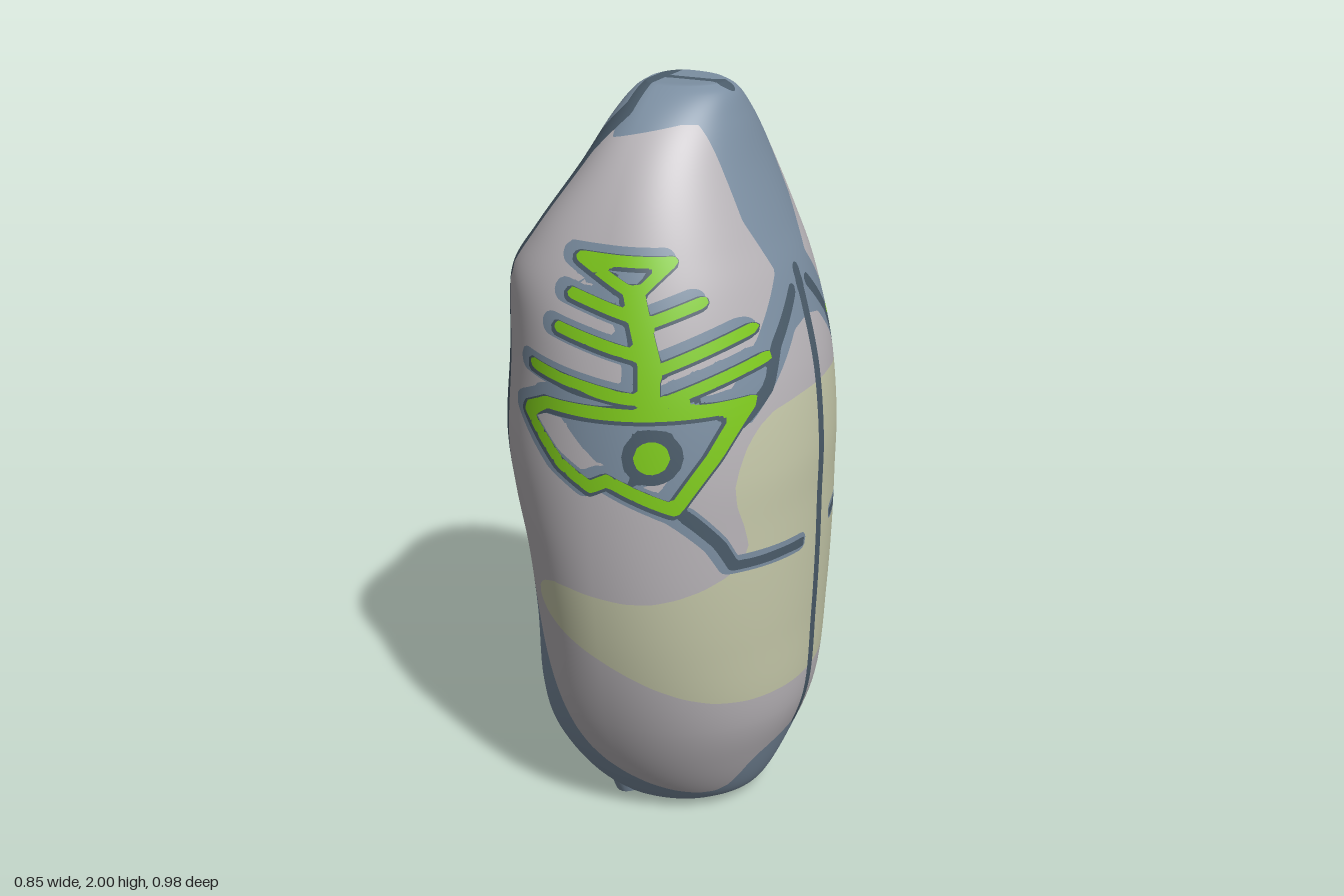
import * as THREE from 'three';

// Side profile: reach to -x, height, reach to +x
const PROFILE = new THREE.CatmullRomCurve3([
  [.18, .02, .24], [.25, .05, .28], [.33, .2, .35], [.345, .35, .4], [.35, .6, .415], [.37, .8, .42],
  [.405, .95, .42], [.43, 1.1, .42], [.415, 1.3, .4], [.395, 1.45, .365], [.37, 1.55, .335],
  [.3, 1.65, .295], [.2, 1.8, .235], [.135, 1.92, .19], [.09, 1.98, .16], [.06, 2, .13],
].map((p) => new THREE.Vector3(...p)));
const bump = (y, mid) => Math.exp(-(((y - mid) / .2) ** 2));

// Half body (z >= 0) as an indexed grid, closed by a flat cap at each end
function halfBody(rings, cap, segs) {
  const pos = [], index = [], total = rings + 2 * cap;
  for (let i = 0; i <= total; i++) {
    const t = THREE.MathUtils.clamp((i - cap) / rings, 0, 1);
    const k = Math.min(1, i / cap, (total - i) / cap);
    const { x: back, y, z: fore } = PROFILE.getPoint(t);
    const depth = .49 * Math.sqrt(1 - ((y - .97) / 1.05) ** 2);
    const square = 2 + bump(y, 1.65) + .3 * bump(y, .3);
    for (let j = 0; j <= segs; j++) {
      const a = Math.PI * j / segs, c = Math.cos(a), e = 2 / (c > 0 ? 2.1 : square);
      const x = Math.abs(c) ** e * (c > 0 ? fore : -back);
      pos.push(k * x, y, j % segs ? k * depth * Math.sin(a) ** e : 0);
      if (i < total && j < segs) {
        const v = i * (segs + 1) + j, up = v + segs + 1;
        if (i > 0) index.push(v, up, v + 1);
        if (i < total - 1) index.push(v + 1, up, up + 1);
      }
    }
  }
  const g = new THREE.BufferGeometry();
  g.setAttribute('position', new THREE.Float32BufferAttribute(pos, 3));
  g.setIndex(index);
  g.computeVertexNormals();
  return g;
}

// Signed distance fields for the painted areas
function segDist(x, y, a, b) {
  const dx = b[0] - a[0], dy = b[1] - a[1], len = dx * dx + dy * dy;
  const t = len ? THREE.MathUtils.clamp(((x - a[0]) * dx + (y - a[1]) * dy) / len, 0, 1) : 0;
  return Math.hypot(x - a[0] - t * dx, y - a[1] - t * dy);
}
const stroke = (r, pts, ox = 0, oy = 0) => (x, y) =>
  Math.min(...pts.map((p, i) => segDist(x - ox, y - oy, pts[Math.max(0, i - 1)], p))) - r;
const fill = (pts) => (x, y) => {
  let d = 9, inside = false;
  pts.forEach((a, i) => {
    const b = pts[(i + 1) % pts.length];
    d = Math.min(d, segDist(x, y, a, b));
    if ((a[1] > y) !== (b[1] > y) && x < (b[0] - a[0]) * (y - a[1]) / (b[1] - a[1]) + a[0]) inside = !inside;
  });
  return inside ? -d : d;
};
const spline = (pts, n) => new THREE.SplineCurve(pts.map((p) => new THREE.Vector2(...p)))
  .getPoints(n).map((p) => [p.x, p.y]);

// Projections: through the front, from +x, from -x, and from the top
const front = (f) => (p) => f(p[0], p[1]);
const right = (f) => (p) => Math.max(f(p[2], p[1]), -p[0]);
const left = (f) => (p) => Math.max(f(p[2], p[1]), p[0]);
const top = (f) => (p) => Math.max(f(p[0], p[2]), 1.9 - p[1]);

// Emblem: frame, crown, trunk and branches
const FRAME = [[-.21, 1.235], [-.14, 1.27], [.33, 1.29], [.28, 1.17], [.205, 1.04], [.045, 1.11],
  [0, 1.085], [-.09, 1.13], [-.21, 1.235]];
const CROWN = [[-.07, 1.635], [.15, 1.635], [.085, 1.56], [-.07, 1.635]];
const TRUNK = [[.14, 1.29], [.13, 1.41], [.08, 1.56]];
const BRANCHES = [
  [[.09, 1.51], [-.08, 1.55]], [[.12, 1.42], [-.11, 1.465]], [[.13, 1.315], [-.19, 1.355]],
  [[.1, 1.49], [.22, 1.54]], [[.13, 1.38], [.31, 1.46]], [[.14, 1.3], [.34, 1.385]],
];
const emblem = (grow, ox, oy) => [
  [.016, FRAME], [.013, CROWN], [.025, TRUNK], ...BRANCHES.map((b) => [.014, b]),
].map(([r, pts]) => front(stroke(r + grow, pts, ox, oy)));
const EYE = [[.15, 1.175]];
const EYE_PATCH = [[-.1, 1.255], [.27, 1.255], [.235, 1.13], [.125, 1.1], [-.02, 1.18]];

// Seams
const CRACK = [[.42, 1.02], [.36, .93], [.33, .865], [.1, .85]];
const ARM = [[.05, 1.51], [.165, 1.405], [.215, 1.315], [.295, 1.25]];
const PANEL = [[-.03, 2.03], [-.045, 1.95], [-.13, 1.86], [-.34, 1.55], [-.335, 1.35], [-.345, 1], [-.295, .78]];

// Areas
const BASE_EDGE = spline([[-.295, .78], [-.2, .49], [-.07, .2], [.19, .07], [.32, .2], [.4, .28]], 24);
const BACK_AND_BASE = [...PANEL, ...BASE_EDGE, [.6, .28], [.6, -.2], [-.7, -.2], [-.7, 2.03]];
const CAP = [[-.06, 1.89], [.1, 1.925], [.2, 1.92], [.3, 2.1], [-.1, 2.1]];
const STRIP = [[-.1, 1.96], [.15, 1.96], [.15, 1.7], [.1, 1.57], [.34, 1.3], [.28, 1.235], [.08, 1.42], [-.1, 1.46]];
const BELLY = spline([[.5, 1.255], [.37, 1.25], [.32, 1.08], [.335, .87], [.15, .775], [-.13, .78],
  [-.2, .69], [0, .58], [.27, .45], [.5, .43]], 36);

// Painted layers, uppermost first
const LAYERS = [
  { name: 'emblem', color: 0x80cc1c, fields: [...emblem(0, 0, 0), front(stroke(.042, EYE))] },
  { name: 'darkLines', color: 0x4b5c6a, fields: [
    ...emblem(.006, -.004, -.004),
    front(stroke(.07, EYE)),
    right(stroke(.013, CRACK)),
    right(stroke(.017, ARM)),
    right(stroke(.018, [[0, 1.55], [0, .25]])),
    front(stroke(.017, PANEL)),
    left(stroke(.016, [[.28, 1.54], [0, 1.61]])),
    front(stroke(.012, [[-.295, .78], [-.27, .66], [-.285, .58]])),
    left(stroke(.022, [[.09, .62], [.08, .56]])),
    front(stroke(.01, [[-.13, .69], [.05, .69]])),
    top(stroke(.014, [[-.03, 0], [.13, 0]])),
    top(stroke(.026, [[.135, 0]])),
  ] },
  { name: 'slatePanels', color: 0x7c8fa2, fields: [
    ...emblem(.016, -.022, .004),
    front(fill(EYE_PATCH)),
    right(stroke(.025, CRACK, .008, .004)),
    front(fill(BACK_AND_BASE)),
    front(fill(CAP)),
    right(fill(STRIP)),
  ] },
  { name: 'creamBelly', color: 0xc6c9aa, fields: [front(fill(BELLY))] },
  { name: 'greyShell', color: 0xb9b5b9, fields: [() => -1] },
];

export function createModel() {
  const group = new THREE.Group();
  const out = LAYERS.map(() => ({ p: [], n: [] }));

  // Add a triangle and its mirror image
  const emit = (k, [a, b, c]) => {
    const { p, n } = out[k];
    for (const v of [a, b, c]) { p.push(v[0], v[1], v[2]); n.push(v[3], v[4], v[5]); }
    for (const v of [a, c, b]) { p.push(v[0], v[1], -v[2]); n.push(v[3], v[4], -v[5]); }
  };
  // Cut a triangle along the edges of the painted layers
  const paint = (tri, k) => {
    const d = tri.map((v) => LAYERS[k].fields.reduce((m, f) => Math.min(m, f(v)), 9));
    if (d.every((v) => v < 0)) return emit(k, tri);
    if (d.every((v) => v >= 0)) return paint(tri, k + 1);
    const inner = [], outer = [];
    tri.forEach((v, i) => {
      const j = (i + 1) % 3;
      (d[i] < 0 ? inner : outer).push(v);
      if ((d[i] < 0) !== (d[j] < 0)) {
        const t = d[i] / (d[i] - d[j]), cut = v.map((s, c) => s + (tri[j][c] - s) * t);
        inner.push(cut);
        outer.push(cut);
      }
    });
    for (let i = 2; i < inner.length; i++) emit(k, [inner[0], inner[i - 1], inner[i]]);
    for (let i = 2; i < outer.length; i++) paint([outer[0], outer[i - 1], outer[i]], k + 1);
  };

  const half = halfBody(120, 6, 104), { position, normal } = half.attributes;
  const vertex = (i) => {
    const p = new THREE.Vector3().fromBufferAttribute(position, i);
    const n = new THREE.Vector3().fromBufferAttribute(normal, i);
    if (p.z === 0) n.setZ(0).normalize(); // smooth across the mirror seam
    return [...p, ...n];
  };
  const idx = half.index.array;
  for (let i = 0; i < idx.length; i += 3) paint([vertex(idx[i]), vertex(idx[i + 1]), vertex(idx[i + 2])], 0);

  // One mesh per colour
  const materials = {};
  LAYERS.forEach(({ name, color }, k) => {
    const g = new THREE.BufferGeometry();
    g.setAttribute('position', new THREE.Float32BufferAttribute(out[k].p, 3));
    g.setAttribute('normal', new THREE.Float32BufferAttribute(out[k].n, 3));
    materials[name] = new THREE.MeshStandardMaterial({ color });
    materials[name].name = name + 'Colour';
    const mesh = new THREE.Mesh(g, materials[name]);
    mesh.name = name;
    group.add(mesh);
  });

  // Flat oval foot under the body
  const foot = new THREE.Mesh(new THREE.CylinderGeometry(1.15, 1, .06, 40), materials.slatePanels);
  foot.scale.set(.07, 1, .2);
  foot.position.set(-.07, .03, 0);
  foot.name = 'foot';
  group.add(foot);
  return group;
}
